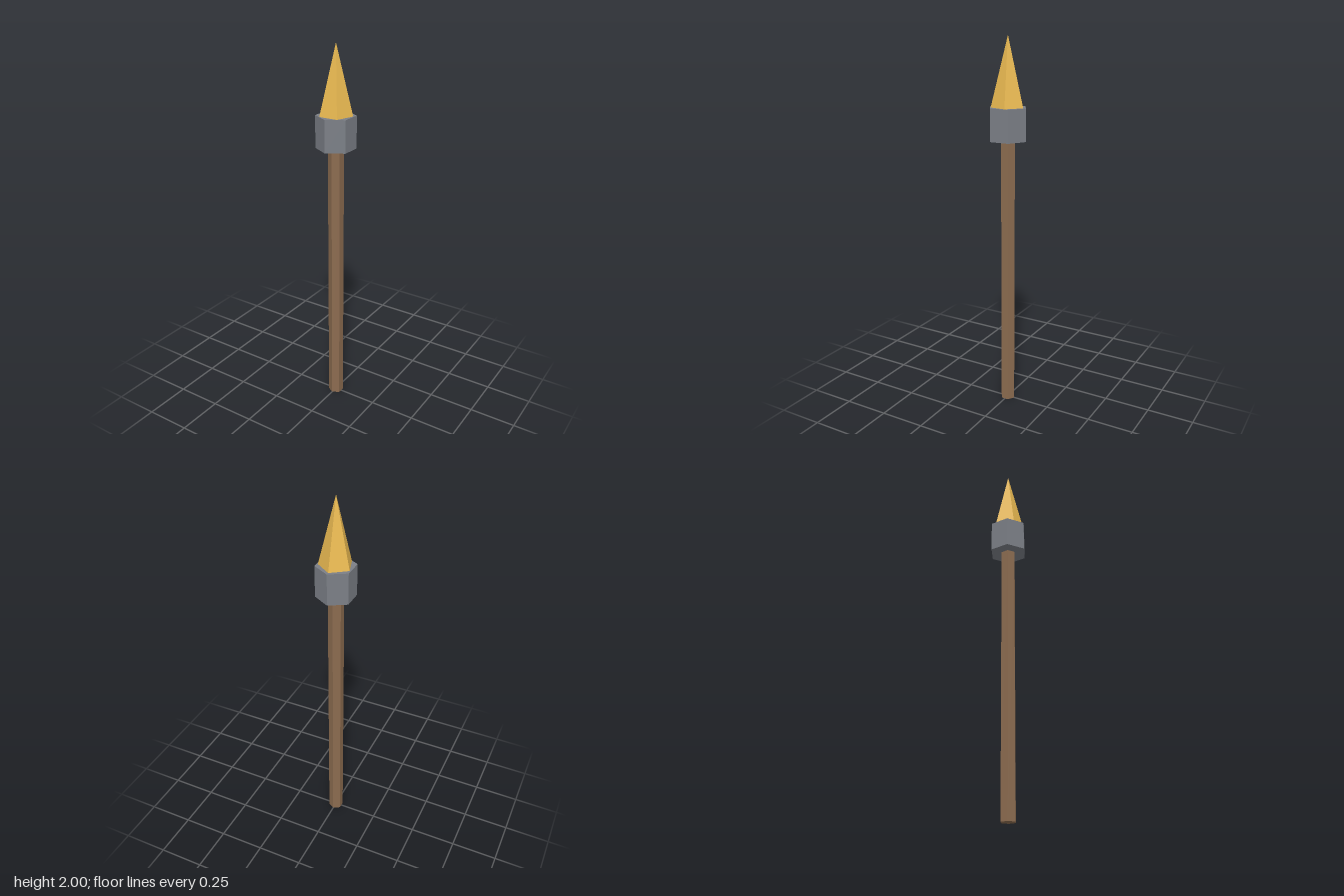
import * as THREE from 'three';

// Adds one flat-shaded, faceted part standing on height y0
function addPart(group, name, geometry, color, y0, y1) {
  const material = new THREE.MeshStandardMaterial({ color, flatShading: true });
  const mesh = new THREE.Mesh(geometry, material);
  mesh.name = name;
  mesh.position.y = (y0 + y1) / 2;
  group.add(mesh);
  return mesh;
}

export function createModel() {
  const group = new THREE.Group();
  group.name = 'spear';

  const collarBottom = 1.477, collarTop = 1.646, tipTop = 2;

  // Hexagonal wooden shaft
  addPart(group, 'shaft', new THREE.CylinderGeometry(0.041, 0.041, collarBottom, 6),
    0x8b6b4f, 0, collarBottom);

  // Hexagonal metal collar
  addPart(group, 'collar', new THREE.CylinderGeometry(0.104, 0.104, collarTop - collarBottom, 6),
    0x7b7f86, collarBottom, collarTop);

  // Five-sided golden tip, with one edge towards the back
  const tip = addPart(group, 'tip', new THREE.ConeGeometry(0.088, tipTop - collarTop, 5),
    0xe8b850, collarTop, tipTop);
  tip.rotation.y = Math.PI;

  return group;
}
